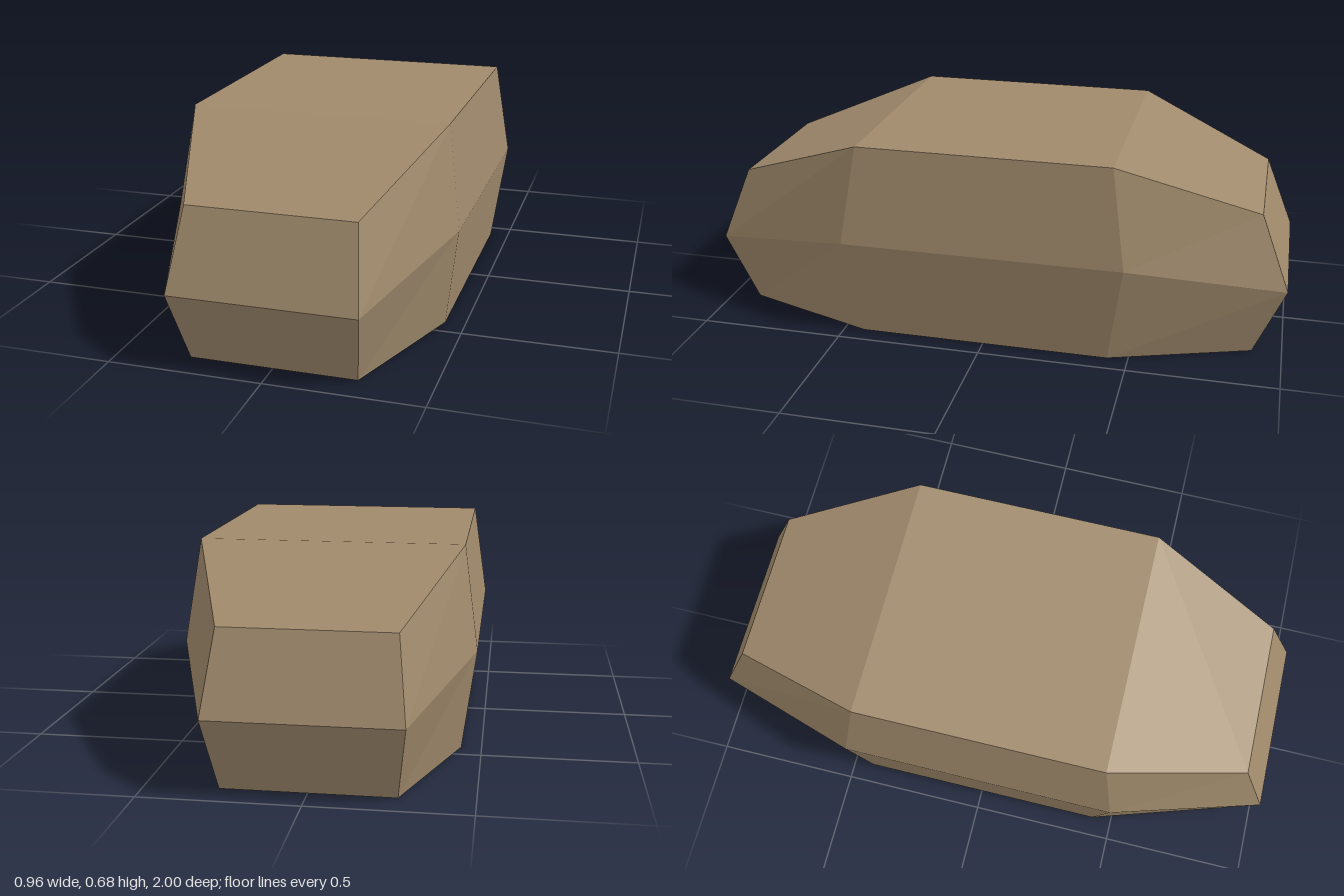
import * as THREE from 'three';

// Eight-sided ring: narrow ends (x, z, y) and wide flanks (x, z, y)
function ring([ex, ez, ey], [fx, fz, fy]) {
  return [
    [-ex, ey, ez], [ex, ey, ez], [fx, fy, fz], [fx, fy, -fz],
    [ex, ey, -ez], [-ex, ey, -ez], [-fx, fy, -fz], [-fx, fy, fz],
  ];
}

export function createModel() {
  const group = new THREE.Group();
  group.name = 'stone';
  const tan = new THREE.MeshStandardMaterial({ color: 0xa08a6c, flatShading: true });
  tan.name = 'tan stone';

  // Base, bulging waist and sloped shoulders
  const rings = [
    ring([0.27, 0.9, 0], [0.433, 0.43, 0]),
    ring([0.3, 1, 0.245], [0.48, 0.48, 0.345]),
    ring([0.27, 0.9, 0.5], [0.433, 0.43, 0.68]),
  ];
  const positions = [];
  const quad = (a, b, c, d) => positions.push(...a, ...b, ...c, ...a, ...c, ...d);

  // Side facets
  for (let r = 0; r < 2; r++) {
    for (let i = 0; i < 8; i++) {
      const j = (i + 1) % 8;
      quad(rings[r][i], rings[r][j], rings[r + 1][j], rings[r + 1][i]);
    }
  }
  // Top and underside, each as front, middle and back panels
  const [base, , top] = rings;
  for (const [a, b, c, d] of [[0, 1, 2, 7], [7, 2, 3, 6], [6, 3, 4, 5]]) {
    quad(top[a], top[b], top[c], top[d]);
    quad(base[d], base[c], base[b], base[a]);
  }

  const geometry = new THREE.BufferGeometry();
  geometry.setAttribute('position', new THREE.Float32BufferAttribute(positions, 3));
  geometry.computeVertexNormals();
  const body = new THREE.Mesh(geometry, tan);
  body.name = 'facetedBody';
  group.add(body);
  return group;
}
